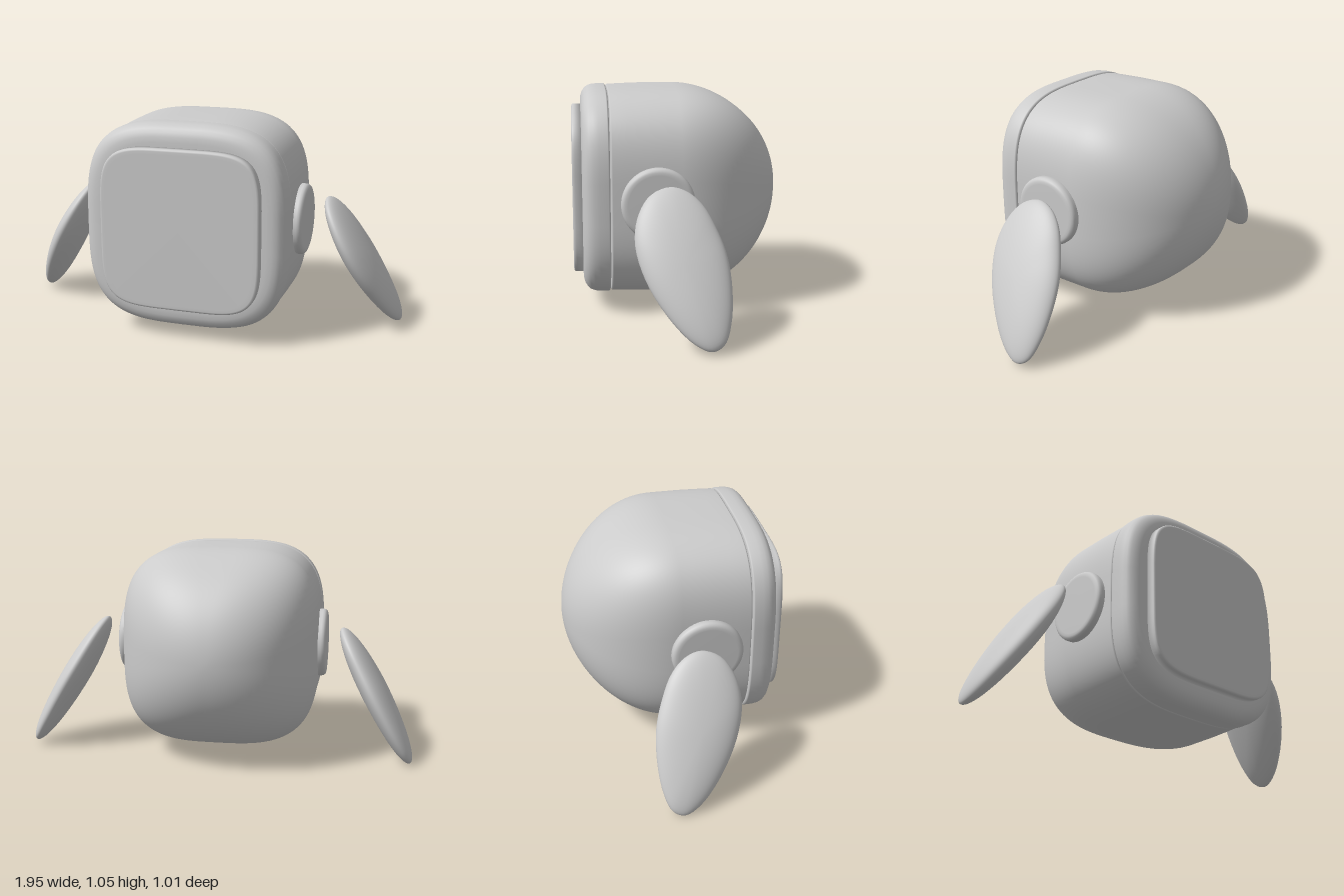
import * as THREE from 'three';
import { mergeVertices } from 'three/addons/utils/BufferGeometryUtils.js';

const material = new THREE.MeshStandardMaterial({ color: 0xcccccc });
const CENTER_X = -0.005, CENTER_Y = 0.55;

function addMesh(parent, geometry, name) {
  const mesh = new THREE.Mesh(geometry, material);
  mesh.name = name;
  parent.add(mesh);
  return mesh;
}

// Weld coincident vertices and smooth the normals across them
function smooth(geometry) {
  geometry.deleteAttribute('uv');
  geometry.deleteAttribute('normal');
  const welded = mergeVertices(geometry, 1e-5);
  welded.computeVertexNormals();
  return welded;
}

// Skin superellipse rings [z, halfWidth, halfHeight, exponent] from front to back
function loft(rings, segments = 96) {
  const positions = [], index = [];
  for (const [z, w, h, n] of rings) {
    for (let j = 0; j < segments; j++) {
      const a = (j / segments) * Math.PI * 2, c = Math.cos(a), s = Math.sin(a);
      positions.push(
        w * Math.sign(c) * Math.abs(c) ** (2 / n),
        h * Math.sign(s) * Math.abs(s) ** (2 / n), z);
    }
  }
  for (let i = 0; i < rings.length - 1; i++) {
    for (let j = 0; j < segments; j++) {
      const k = (j + 1) % segments;
      const a = i * segments + j, b = i * segments + k;
      const c = a + segments, d = b + segments;
      index.push(a, c, b, b, c, d);
    }
  }
  const geometry = new THREE.BufferGeometry();
  geometry.setAttribute('position', new THREE.Float32BufferAttribute(positions, 3));
  geometry.setIndex(index);
  return smooth(geometry);
}

// Rear shell: straight sides that round off into a dome
function shellGeometry() {
  const n = 3.4;
  const rings = [
    [0.328, 0, 0, n], [0.328, 0.47, 0.468, n], [0.328, 0.484, 0.482, n],
    [0.326, 0.489, 0.488, n], [0.32, 0.491, 0.491, n],
    [0.25, 0.492, 0.494, n], [0.15, 0.493, 0.497, n], [0.07, 0.493, 0.497, n],
  ];
  const steps = 32;
  for (let i = 0; i <= steps; i++) {
    const t = (i / steps) * Math.PI / 2, s = Math.sin(t), c = i === steps ? 0 : Math.cos(t);
    rings.push([-0.51 * s, 0.493 * c, 0.497 * c, n - 1.2 * s * s]);
  }
  return loft(rings);
}

// Front frame: a thick slab with a soft front edge
function bezelGeometry() {
  const profile = [
    [0.46, 0], [0.46, 0.38], [0.46, 0.41], [0.4575, 0.435], [0.451, 0.455], [0.44, 0.472],
    [0.425, 0.484], [0.405, 0.491], [0.38, 0.494], [0.34, 0.494],
    [0.335, 0.492], [0.332, 0.486], [0.332, 0.47], [0.332, 0],
  ];
  return loft(profile.map(([z, r]) => [z, r, r, 3.4]));
}

// Raised face plate
function screenGeometry() {
  const profile = [
    [0.505, 0], [0.505, 0.36], [0.505, 0.376], [0.5035, 0.382], [0.499, 0.386],
    [0.49, 0.387], [0.45, 0.387], [0.45, 0],
  ];
  return loft(profile.map(([z, r]) => [z, r, r, 4.8]));
}

// Side disc with a rounded rim, axis along x
function discGeometry(side) {
  const points = [[0, 0.42], [0.171, 0.42], [0.171, 0.506], [0.169, 0.516],
    [0.163, 0.524], [0.153, 0.528], [0.14, 0.529], [0, 0.529]]
    .map(([r, y]) => new THREE.Vector2(r, y));
  const geometry = new THREE.LatheGeometry(points, 64);
  geometry.rotateZ(-side * Math.PI / 2);
  return smooth(geometry);
}

// Outline of an arm seen from the side, as (z, y), going around counterclockwise
const armOutline = new THREE.CatmullRomCurve3([
  [0.237, 0.43], [0.222, 0.54], [0.165, 0.625], [0.075, 0.66], [-0.005, 0.64],
  [-0.075, 0.58], [-0.13, 0.48], [-0.165, 0.38], [-0.177, 0.26], [-0.165, 0.13],
  [-0.13, 0.045], [-0.075, 0.02], [0, 0.05], [0.1, 0.145], [0.195, 0.29],
].map(([z, y]) => new THREE.Vector3(0, y, z)), true);

// Pebble-like arm: a sphere flattened to the outline and leaned outward
function armGeometry(side) {
  const geometry = new THREE.SphereGeometry(1, 64, 40);
  const p = geometry.attributes.position;
  const middle = new THREE.Vector2(0.03, 0.34), halfThickness = 0.066;
  for (let i = 0; i < p.count; i++) {
    const r = Math.min(1, Math.hypot(p.getX(i), p.getZ(i)));
    const turn = side * Math.atan2(p.getZ(i), p.getX(i)) / (Math.PI * 2);
    const edge = armOutline.getPoint(((turn % 1) + 1) % 1);
    const z = middle.x + (edge.z - middle.x) * r;
    const y = middle.y + (edge.y - middle.y) * r;
    const lift = p.getY(i) * halfThickness;
    const x = 0.785 + (middle.y - y) * 0.563 + lift * 0.87;
    p.setXYZ(i, side * x, y + lift * 0.49, z);
  }
  return smooth(geometry);
}

export function createModel() {
  const model = new THREE.Group();
  model.name = 'hoveringRobotHead';

  const head = new THREE.Group();
  head.name = 'head';
  head.position.set(CENTER_X, CENTER_Y, 0);
  model.add(head);
  addMesh(head, shellGeometry(), 'rearShell');
  addMesh(head, bezelGeometry(), 'frontBezel');
  addMesh(head, screenGeometry(), 'facePlate');

  for (const side of [1, -1]) {
    const label = side > 0 ? 'left' : 'right';
    addMesh(head, discGeometry(side), label + 'SideDisc').position.set(0, 0.005, 0.114);
    const arm = addMesh(model, armGeometry(side), label + 'Arm');
    // The right arm hangs slightly lower and further back
    if (side < 0) arm.position.set(-0.004, -0.017, -0.016);
  }
  return model;
}
